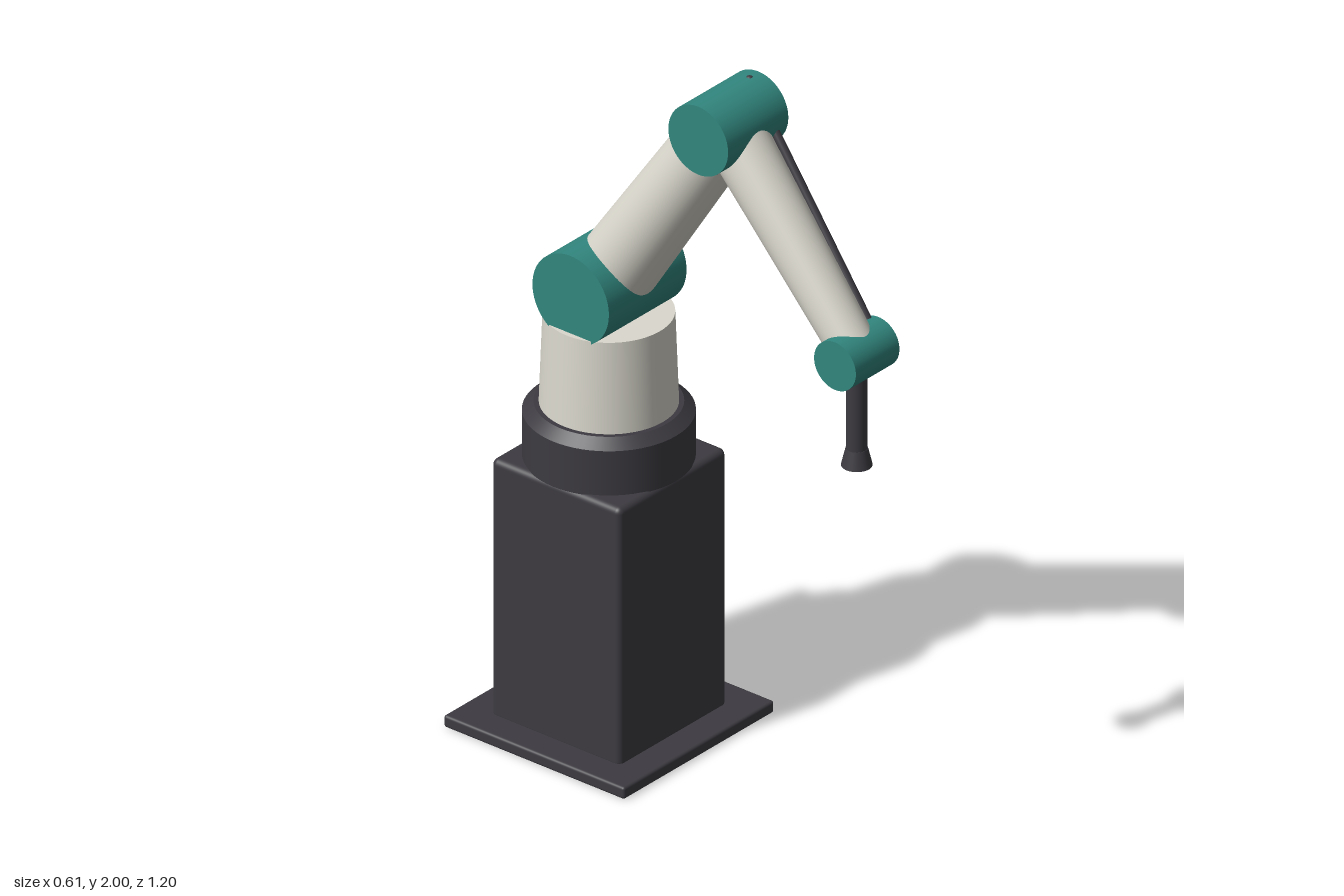
import * as THREE from 'three';
import { RoundedBoxGeometry } from 'three/addons/geometries/RoundedBoxGeometry.js';

const graphite = new THREE.MeshStandardMaterial({ name: 'graphite', color: 0x3d3b41 });
const ivory = new THREE.MeshStandardMaterial({ name: 'ivory', color: 0xdbd9ce });
const teal = new THREE.MeshStandardMaterial({ name: 'teal', color: 0x32877f });

const BASE_Z = -0.3;
const SHOULDER = new THREE.Vector3(0, 1.305, -0.298);
const ELBOW = new THREE.Vector3(0, 1.9, 0.1);
const WRIST = new THREE.Vector3(0, 1.375, 0.53);
const UP = new THREE.Vector3(0, 1, 0);

export function createModel() {
  const model = new THREE.Group();
  model.name = 'robotArm';

  const add = (name, geometry, material, x = 0, y = 0, z = 0) => {
    const mesh = new THREE.Mesh(geometry, material);
    mesh.name = name;
    mesh.position.set(x, y, z);
    model.add(mesh);
    return mesh;
  };

  // Tapered round bar between two points
  const bar = (name, a, b, ra, rb, material, segments = 48) => {
    const mid = a.clone().lerp(b, 0.5);
    const geometry = new THREE.CylinderGeometry(rb, ra, a.distanceTo(b), segments);
    const mesh = add(name, geometry, material, mid.x, mid.y, mid.z);
    mesh.quaternion.setFromUnitVectors(UP, b.clone().sub(a).normalize());
    return mesh;
  };

  // Joint drum lying along x
  const joint = (name, centre, radius, width) => {
    const geometry = new THREE.CylinderGeometry(radius, radius, width, 64).rotateZ(Math.PI / 2);
    return add(name, geometry, teal, centre.x, centre.y, centre.z);
  };

  // Floor plate and pedestal
  add('floorPlate', new RoundedBoxGeometry(0.605, 0.035, 0.605, 3, 0.008), graphite, 0, 0.0175, BASE_Z);
  add('pedestal', new RoundedBoxGeometry(0.432, 0.765, 0.432, 4, 0.018), graphite, 0, 0.4025, BASE_Z);

  // Bevelled collar, with a turning turret on it
  add('collar', new THREE.CylinderGeometry(0.224, 0.224, 0.133, 64), graphite, 0, 0.8485, BASE_Z);
  add('collarBevel', new THREE.CylinderGeometry(0.194, 0.224, 0.026, 64), graphite, 0, 0.928, BASE_Z);
  add('turret', new THREE.CylinderGeometry(0.171, 0.181, 0.27, 64), ivory, 0, 1.07, BASE_Z);

  // Joints and arm segments
  joint('shoulderJoint', SHOULDER, 0.128, 0.312);
  joint('elbowJoint', ELBOW, 0.1, 0.242);
  joint('wristJoint', WRIST, 0.07, 0.175);
  bar('upperArm', SHOULDER, ELBOW, 0.11, 0.095, ivory);
  bar('forearm', ELBOW, WRIST, 0.085, 0.063, ivory);

  // Cable running along both arm segments, bending over the elbow
  const cablePoints = [
    new THREE.Vector3(0.103, 1.418, -0.322),
    new THREE.Vector3(0.085, 1.99, 0.1),
    new THREE.Vector3(0.07, 1.42, 0.518),
  ];
  bar('upperCable', cablePoints[0], cablePoints[1], 0.013, 0.013, graphite, 16);
  bar('lowerCable', cablePoints[1], cablePoints[2], 0.013, 0.013, graphite, 16);
  for (const p of cablePoints) {
    add('cableEnd', new THREE.SphereGeometry(0.013, 16, 10), graphite, p.x, p.y, p.z);
  }

  // Cover panel on the side of the upper arm
  const middle = SHOULDER.clone().lerp(ELBOW, 0.5);
  const panel = add('sidePanel', new THREE.BoxGeometry(0.03, 0.17, 0.07), teal, 0.104, middle.y, middle.z);
  panel.rotation.x = Math.atan2(ELBOW.z - SHOULDER.z, ELBOW.y - SHOULDER.y);

  // Tool hanging from the wrist, with a flared tip
  add('toolShaft', new THREE.CylinderGeometry(0.028, 0.028, 0.28, 32), graphite, 0, 1.235, WRIST.z);
  add('toolTip', new THREE.CylinderGeometry(0.029, 0.041, 0.05, 32), graphite, 0, 1.073, WRIST.z);

  return model;
}
